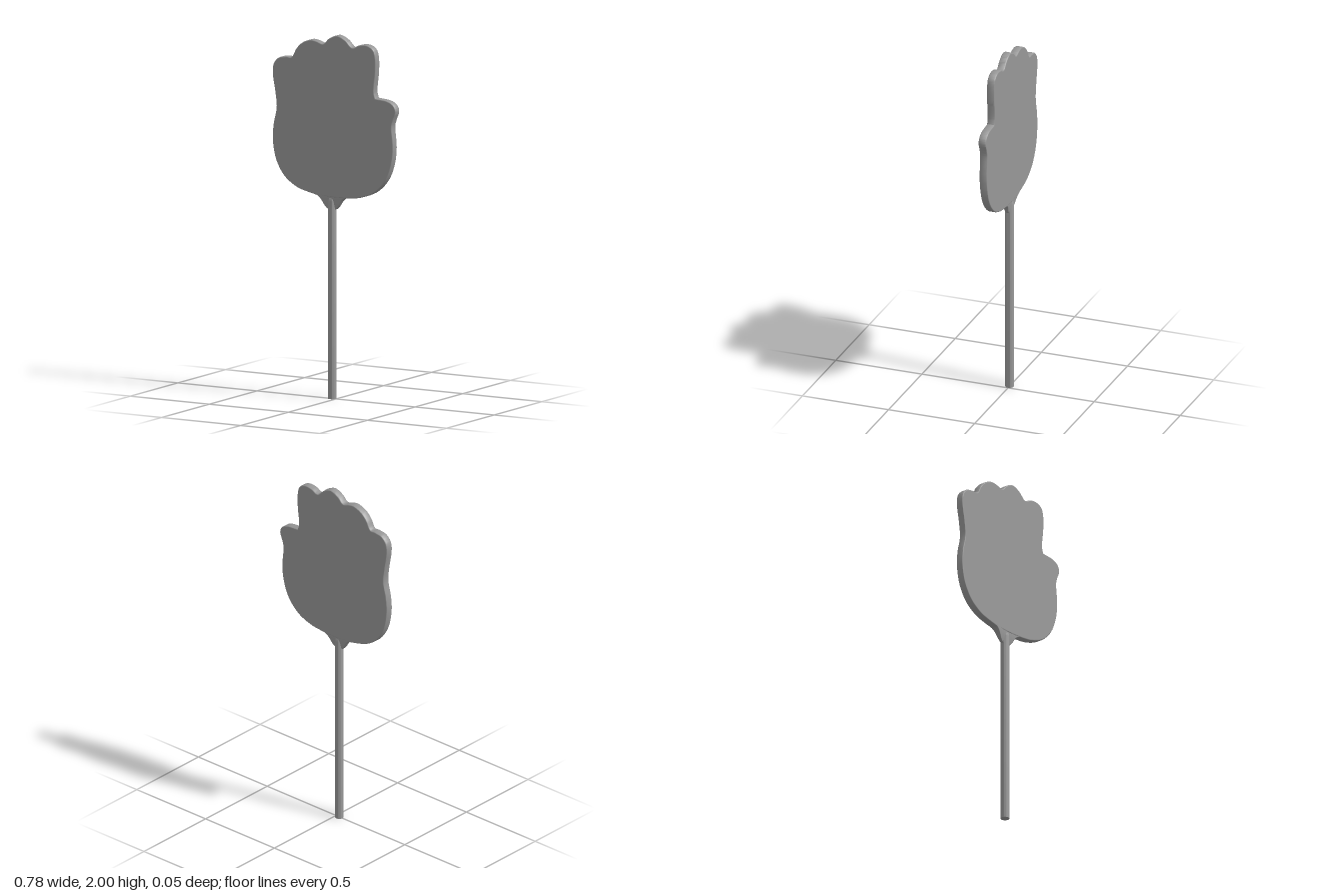
import * as THREE from 'three';
import { toCreasedNormals } from 'three/addons/utils/BufferGeometryUtils.js';

const HALF = 0.022; // half thickness of the plate
const STICK_X = -0.024;

// Outline running from the thumb crook over the fingers, round the palm and back
const HAND = [
  [0.261, 1.676], [0.253, 1.705], [0.254, 1.745], [0.262, 1.815], [0.262, 1.894], [0.246, 1.942],
  [0.204, 1.963], [0.156, 1.958], [0.114, 1.942], [0.071, 1.979], [0.018, 2.0],
  [-0.034, 1.979], [-0.069, 1.948], [-0.108, 1.958], [-0.151, 1.963], [-0.204, 1.942],
  [-0.241, 1.905], [-0.267, 1.86], [-0.304, 1.858], [-0.352, 1.847], [-0.384, 1.81],
  [-0.389, 1.751], [-0.373, 1.656], [-0.365, 1.571], [-0.384, 1.48], [-0.389, 1.39],
  [-0.368, 1.286], [-0.315, 1.2], [-0.24, 1.148], [-0.172, 1.127], [-0.114, 1.116],
  [-0.02, 1.109], [0.082, 1.111], [0.167, 1.122], [0.257, 1.159], [0.325, 1.228],
  [0.362, 1.317], [0.374, 1.413], [0.365, 1.52], [0.374, 1.565], [0.389, 1.605],
  [0.384, 1.634], [0.362, 1.657], [0.33, 1.669], [0.295, 1.673], [0.261, 1.676],
];

// Flared collar below the palm; its top is buried in the plate
const COLLAR = [
  [0.11, 1.16], [-0.15, 1.16], [-0.135, 1.122], [-0.108, 1.112], [-0.087, 1.092],
  [-0.068, 1.06], [-0.05, 1.043], [-0.024, 1.039], [0.006, 1.043],
  [0.025, 1.063], [0.043, 1.092], [0.068, 1.109], [0.1, 1.117], [0.11, 1.16],
];

// Slab from a smooth outline, centred on z = 0, with flat faces and softly rounded rims
function slab(points, half, bevel) {
  const [start, ...rest] = points.map(([x, y]) => new THREE.Vector2(x, y));
  const shape = new THREE.Shape().moveTo(start.x, start.y).splineThru(rest);
  const extruded = new THREE.ExtrudeGeometry(shape, {
    depth: 2 * (half - bevel), curveSegments: 5, bevelSegments: 4,
    bevelSize: bevel, bevelThickness: bevel, bevelOffset: -bevel,
  }).translate(0, 0, bevel - half);
  const geometry = toCreasedNormals(extruded, 0.6);
  const { position, normal } = geometry.attributes;
  for (let i = 0; i < position.count; i++) {
    const z = position.getZ(i);
    if (Math.abs(z) > half - 1e-5) normal.setXYZ(i, 0, 0, Math.sign(z));
  }
  return geometry;
}

export function createModel() {
  const group = new THREE.Group();
  const material = new THREE.MeshStandardMaterial({ color: 0x979797 });
  const add = (name, geometry) => {
    const mesh = new THREE.Mesh(geometry, material);
    mesh.name = name;
    group.add(mesh);
    return mesh;
  };

  // Hand-shaped plate
  add('handPlate', slab(HAND, HALF, 0.007));

  // Collar, thinning towards its lower tip
  const collar = slab(COLLAR, HALF - 0.0003, 0.006);
  const { position, normal } = collar.attributes;
  for (let i = 0; i < position.count; i++) {
    const t = THREE.MathUtils.clamp((position.getY(i) - 1.04) / 0.075, 0, 1);
    position.setZ(i, position.getZ(i) * THREE.MathUtils.lerp(0.3, 1, t));
    normal.setY(i, normal.getY(i) - 0.2 * (1 - t));
  }
  collar.normalizeNormals();
  add('collar', collar);

  // Round stick, its rounded tip sunk into the collar
  const profile = [[0, 0], [0.0235, 0], [0.0235, 1.085], [0.021, 1.102], [0.014, 1.115], [0, 1.12]]
    .map(([r, y]) => new THREE.Vector2(r, y));
  const stick = add('stick', toCreasedNormals(new THREE.LatheGeometry(profile, 32), 0.8));
  stick.position.x = STICK_X;

  return group;
}
